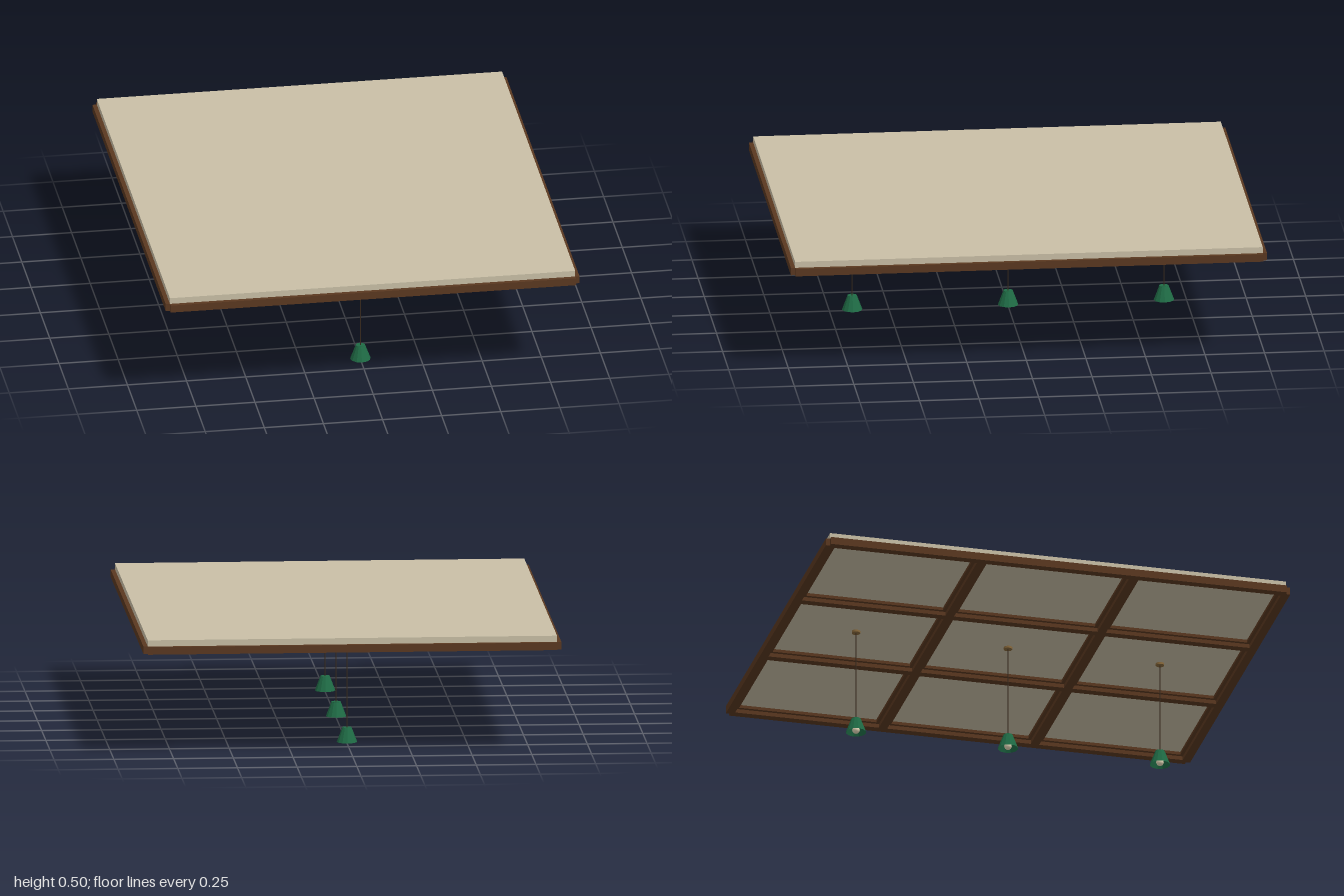
import * as THREE from 'three';

const mat = (name, color, side = THREE.FrontSide, flatShading = false) => {
  const m = new THREE.MeshStandardMaterial({ color, side, flatShading });
  m.name = name;
  return m;
};

export function createModel() {
  const root = new THREE.Group();
  root.name = 'cofferedCeiling';

  const plaster = mat('plaster', 0xc9bfa6);
  const wood = mat('darkWood', 0x5a3820);
  const brass = mat('agedBrass', 0x8a6a3c);
  const cordMat = mat('cordBrown', 0x3a2b1e);
  const green = mat('shadeGreen', 0x1f6b45, THREE.DoubleSide, true);
  const glass = mat('warmBulb', 0xf2e6c4);

  const add = (parent, name, geo, material, x, y, z) => {
    const mesh = new THREE.Mesh(geo, material);
    mesh.name = name;
    mesh.position.set(x, y, z);
    parent.add(mesh);
    return mesh;
  };
  const box = (name, w, h, d, material, x, y, z) =>
    add(root, name, new THREE.BoxGeometry(w, h, d), material, x, y, z);

  // Ceiling slab
  const W = 1.714, D = 1.964;
  box('ceilingSlab', W, 0.028, D, plaster, 0, 0.485, 0);

  // Grid of beams: edge rails and two inner beams each way
  const beam = 0.036, beamH = 0.032, beamY = 0.457;
  for (let i = 0; i < 4; i++) {
    const t = i / 3 - 0.5;
    const edge = i === 0 || i === 3;
    box(edge ? 'sideRail' : 'lengthBeam', beam, beamH, D, wood, t * W, beamY, 0);
    box(edge ? 'endRail' : 'crossBeam', W, beamH, beam, wood, 0, beamY, t * D);
  }

  // Small moulding around the inside of each of the nine coffers
  const cw = W / 3, cd = D / 3, strip = 0.014, stripH = 0.014, stripY = 0.465;
  for (let i = -1; i <= 1; i++) {
    for (let j = -1; j <= 1; j++) {
      for (const s of [-1, 1]) {
        const dx = s * (cw / 2 - beam / 2 - strip / 2);
        const dz = s * (cd / 2 - beam / 2 - strip / 2);
        box('cofferMoulding', strip, stripH, cd - beam, wood, i * cw + dx, stripY, j * cd);
        box('cofferMoulding', cw - beam, stripH, strip, wood, i * cw, stripY, j * cd + dz);
      }
    }
  }

  // Pendant lamps hanging down the middle row
  for (let j = -1; j <= 1; j++) {
    const lamp = new THREE.Group();
    lamp.name = 'pendantLamp';
    lamp.position.z = j * cd;
    root.add(lamp);
    add(lamp, 'canopy', new THREE.CylinderGeometry(0.018, 0.018, 0.01, 16), brass, 0, 0.467, 0);
    add(lamp, 'cord', new THREE.CylinderGeometry(0.0025, 0.0025, 0.4, 8), cordMat, 0, 0.267, 0);
    add(lamp, 'shade', new THREE.CylinderGeometry(0.02, 0.043, 0.061, 12, 1, true), green, 0, 0.0355, 0);
    add(lamp, 'shadeTop', new THREE.CylinderGeometry(0.02, 0.02, 0.003, 12), green, 0, 0.0655, 0);
    add(lamp, 'bulb', new THREE.SphereGeometry(0.016, 14, 10), glass, 0, 0.016, 0);
  }

  return root;
}
